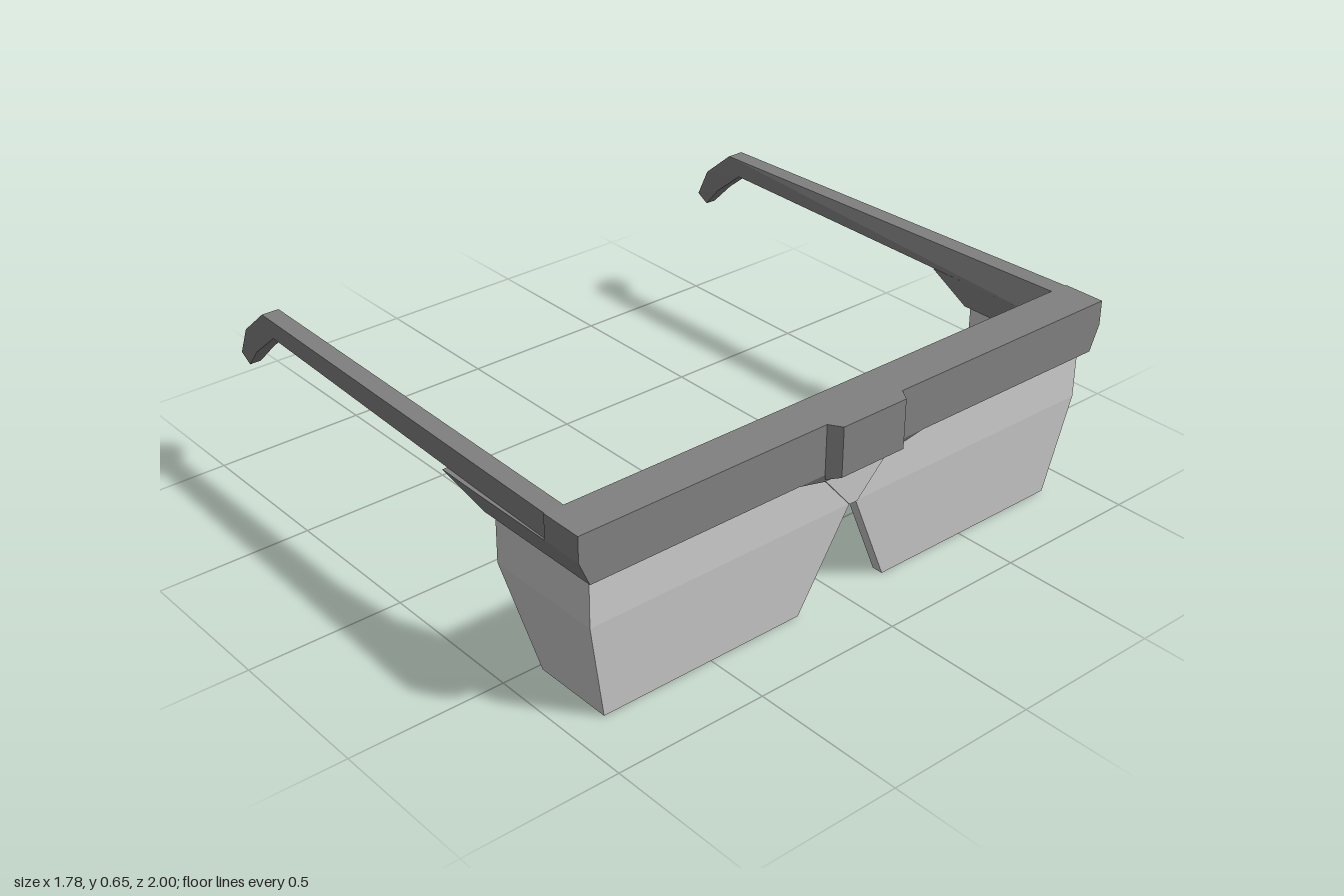
import * as THREE from 'three';

const frameMat = new THREE.MeshStandardMaterial({ color: 0x808080, flatShading: true });
const lensMat = new THREE.MeshStandardMaterial({ color: 0xcccccc, flatShading: true });

// Closed solid through a list of equal-sized convex cross-sections of [x, y, z] points
function loft(sections) {
  const tris = [];
  const n = sections[0].length;
  for (let s = 0; s < sections.length - 1; s++) {
    const a = sections[s], b = sections[s + 1];
    for (let i = 0; i < n; i++) {
      const j = (i + 1) % n;
      tris.push([a[i], a[j], b[j]], [a[i], b[j], b[i]]);
    }
  }
  const first = sections[0], last = sections[sections.length - 1];
  for (let i = 1; i < n - 1; i++) {
    tris.push([first[0], first[i + 1], first[i]], [last[0], last[i], last[i + 1]]);
  }
  // Signed volume about a vertex tells whether the faces point outward
  const o = new THREE.Vector3(...first[0]);
  let volume = 0;
  for (const t of tris) {
    const [p, q, r] = t.map((v) => new THREE.Vector3(...v).sub(o));
    volume += p.dot(q.cross(r));
  }
  if (volume < 0) tris.forEach((t) => t.reverse());
  const geo = new THREE.BufferGeometry();
  geo.setAttribute('position', new THREE.Float32BufferAttribute(tris.flat(2), 3));
  geo.computeVertexNormals();
  return geo;
}

// Horizontal rectangle at height y
const slab = (y, x0, x1, z0, z1) => [[x0, y, z0], [x1, y, z0], [x1, y, z1], [x0, y, z1]];
// Upright rectangle at depth x
const wall = (x, y0, y1, z0, z1) => [[x, y0, z0], [x, y1, z0], [x, y1, z1], [x, y0, z1]];
// Arm section: top point, bottom point, then the inner and outer z of each
const armSection = (tx, ty, bx, by, ti, to, bi, bo) =>
  [[tx, ty, ti], [tx, ty, to], [bx, by, bo], [bx, by, bi]];

export function createModel() {
  const model = new THREE.Group();
  model.name = 'glasses';
  const add = (name, geo, mat) => {
    const mesh = new THREE.Mesh(geo, mat);
    mesh.name = name;
    model.add(mesh);
  };
  const addPair = (name, sections, mat) => {
    add(name + 'Left', loft(sections), mat);
    add(name + 'Right', loft(sections.map((s) => s.map(([x, y, z]) => [x, y, -z]))), mat);
  };

  // Brow bar with lower corners cut in
  const barSection = (x) => [
    [x, 0.65, -1], [x, 0.65, 1], [x, 0.57, 1],
    [x, 0.49, 0.965], [x, 0.49, -0.965], [x, 0.57, -1],
  ];
  add('browBar', loft([barSection(0.71), barSection(0.85)]), frameMat);

  // Raised block in the middle of the brow
  add('browBlock', loft([
    wall(0.85, 0.475, 0.65, -0.145, 0.145),
    wall(0.89, 0.49, 0.65, -0.12, 0.12),
  ]), frameMat);

  // Bridge under the bar and the faceted nose piece
  add('bridge', loft([
    slab(0.49, 0.77, 0.85, -0.24, 0.24),
    slab(0.45, 0.78, 0.83, -0.12, 0.12),
  ]), frameMat);
  add('nosePiece', loft([
    slab(0.45, 0.783, 0.83, -0.12, 0.12),
    slab(0.33, 0.783, 0.823, -0.015, 0.015),
  ]), lensMat);

  // Arms with hooked tips
  addPair('arm', [
    armSection(0.71, 0.649, 0.71, 0.567, 0.935, 0.997, 0.9, 0.995),
    armSection(-0.72, 0.638, -0.665, 0.58, 0.903, 0.96, 0.9, 0.96),
    armSection(-0.83, 0.545, -0.775, 0.49, 0.9, 0.96, 0.9, 0.96),
    armSection(-0.89, 0.44, -0.845, 0.415, 0.912, 0.95, 0.912, 0.95),
  ], frameMat);

  // Wedge below the front of each arm
  addPair('armWedge', [
    armSection(0.26, 0.57, 0.26, 0.568, 0.9, 0.998, 0.9, 0.998),
    armSection(0.40, 0.57, 0.40, 0.49, 0.9, 1, 0.9, 0.965),
    armSection(0.71, 0.57, 0.71, 0.49, 0.9, 1, 0.9, 0.965),
  ], frameMat);

  // Front lenses, parted by the nose notch
  addPair('frontLens', [
    slab(0.49, 0.783, 0.82, 0.012, 0.945),
    slab(0.33, 0.783, 0.82, 0.012, 0.945),
    slab(0, 0.753, 0.79, 0.17, 0.88),
  ], lensMat);

  // Side shields wrapping back from the front lenses
  addPair('sideLens', [
    slab(0.49, 0.42, 0.783, 0.905, 0.945),
    slab(0.33, 0.42, 0.783, 0.905, 0.945),
    slab(0, 0.52, 0.753, 0.838, 0.88),
  ], lensMat);

  return model;
}
